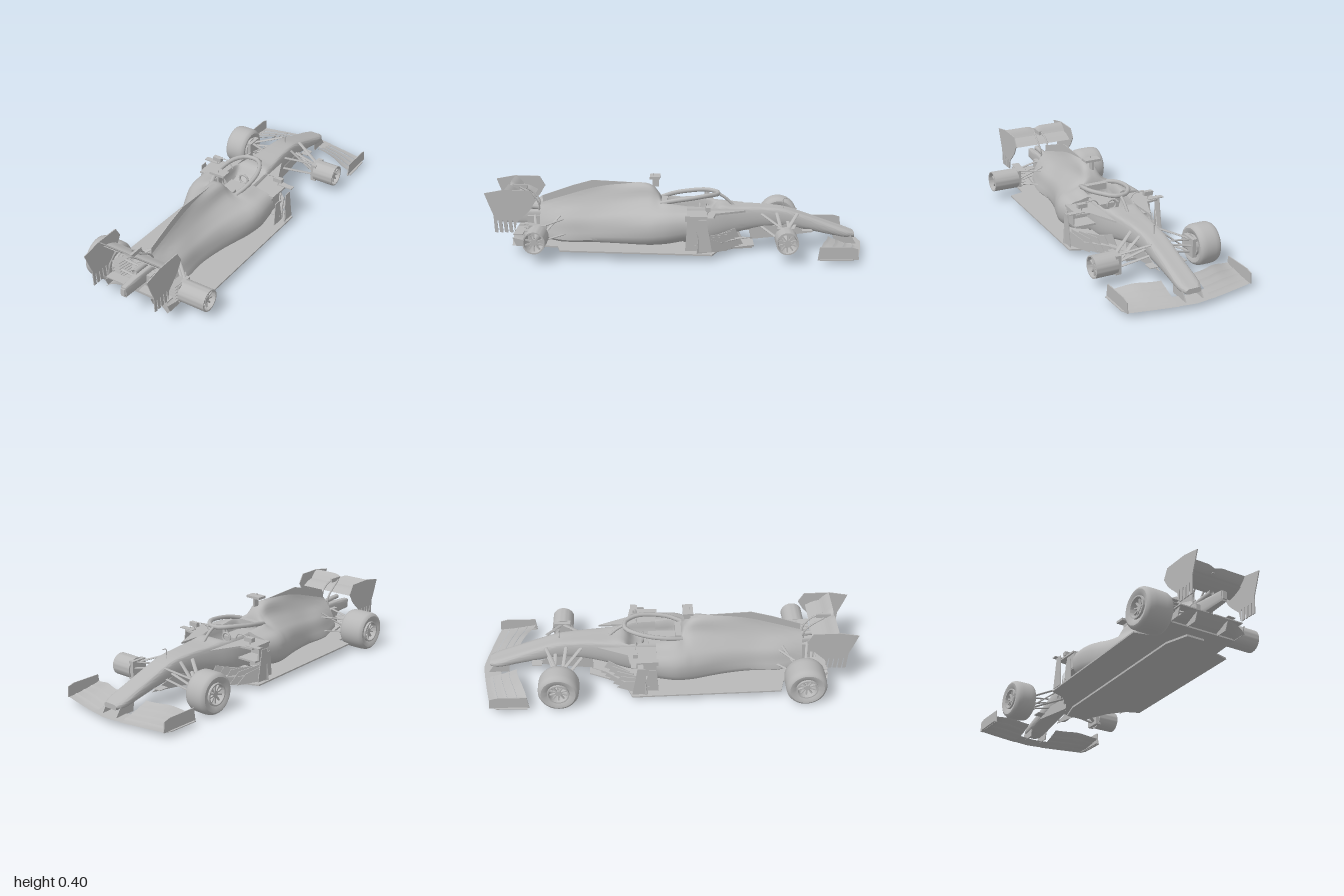
import * as THREE from 'three';
import { toCreasedNormals } from 'three/addons/utils/BufferGeometryUtils.js';

export function createModel() {
  const car = new THREE.Group();
  const grey = new THREE.MeshStandardMaterial({ color: 0xb8b8b8, side: THREE.DoubleSide });
  grey.name = 'plain grey';
  const V = (x, y, z) => new THREE.Vector3(x, y, z);

  const add = (name, geo, parent = car) => {
    const m = new THREE.Mesh(geo, grey);
    m.name = name;
    parent.add(m);
    return m;
  };
  const box = (name, w, h, d, x, y, z, parent) => {
    const m = add(name, new THREE.BoxGeometry(w, h, d), parent);
    m.position.set(x, y, z);
    return m;
  };
  const tube = (name, pts, r) => add(name, new THREE.TubeGeometry(
    new THREE.CatmullRomCurve3(pts.map(p => V(...p))), pts.length > 2 ? 24 : 1, r, 8));
  // flat oval bar between two points
  const arm = (name, a, b, chord) => {
    const p = V(...a), q = V(...b);
    const m = add(name, new THREE.CylinderGeometry(1, 1, p.distanceTo(q), 12).rotateX(Math.PI / 2).scale(chord / 2, 0.004, 1));
    m.position.lerpVectors(p, q, 0.5);
    m.lookAt(q);
  };
  const extrude = (pts, t) => new THREE.ExtrudeGeometry(
    new THREE.Shape(pts.map(p => new THREE.Vector2(...p))), { depth: t, bevelEnabled: false }).translate(0, 0, -t / 2);
  // upright plate from [z, y] corners, and flat plate from [x, z] corners
  const upright = (name, pts, x, t = 0.004) => {
    const m = add(name, extrude(pts, t).rotateY(-Math.PI / 2));
    m.position.x = x;
    return m;
  };
  const flat = (name, pts, y, t = 0.004) => {
    const m = add(name, extrude(pts, t).rotateX(Math.PI / 2));
    m.position.y = y;
    return m;
  };

  // surface from a function of two parameters
  function grid(fn, nu, nv) {
    const pos = [], idx = [];
    for (let j = 0; j <= nv; j++) for (let i = 0; i <= nu; i++) pos.push(...fn(i / nu, j / nv));
    for (let j = 0; j < nv; j++) for (let i = 0; i < nu; i++) {
      const a = j * (nu + 1) + i, b = a + 1, c = a + nu + 1, d = c + 1;
      idx.push(a, c, b, b, c, d);
    }
    const g = new THREE.BufferGeometry();
    g.setAttribute('position', new THREE.Float32BufferAttribute(pos, 3));
    g.setIndex(idx);
    return toCreasedNormals(g, 0.7);
  }

  // mirrored smooth loft through half sections [z, [x, y]...] running from top to bottom
  function loft(sections, steps = 44, half = 24) {
    const rails = sections[0].slice(1).map((_, k) =>
      new THREE.CatmullRomCurve3(sections.map(s => V(s[k + 1][0], s[k + 1][1], s[0]))));
    const rings = [];
    for (let j = 0; j <= steps; j++) {
      const c = new THREE.CatmullRomCurve3(rails.map(r => r.getPoint(j / steps))).getPoints(half);
      rings.push([...c, ...c.slice(0, -1).reverse().map(p => V(-p.x, p.y, p.z))]);
    }
    const cap = r => r.map(() => V(0, (r[0].y + r[half].y) / 2, r[0].z));
    const all = [cap(rings[0]), ...rings, cap(rings[steps])];
    return grid((u, v) => all[Math.round(v * (all.length - 1))][Math.round(u * half * 2)].toArray(),
      half * 2, all.length - 1);
  }

  // nose and cockpit tub, dipping into the cockpit at its rear end
  const tub = (z, w, top, bot, dip = top) => [z, [0, dip], [w * 0.72, dip], [w * 0.88, top - 0.004],
    [w, top - (top - bot) * 0.25], [w, bot + (top - bot) * 0.25], [w * 0.8, bot], [0, bot]];
  add('nose and cockpit tub', loft([
    tub(-0.96, 0.04, 0.092, 0.066), tub(-0.92, 0.055, 0.106, 0.066), tub(-0.8, 0.057, 0.148, 0.09),
    tub(-0.68, 0.059, 0.19, 0.115), tub(-0.58, 0.061, 0.22, 0.128), tub(-0.45, 0.068, 0.232, 0.125),
    tub(-0.32, 0.084, 0.236, 0.1), tub(-0.23, 0.1, 0.24, 0.075), tub(-0.17, 0.107, 0.246, 0.06, 0.18),
    tub(-0.04, 0.11, 0.25, 0.05, 0.17)]));

  // sidepods and engine cover, pinched in towards the gearbox
  add('sidepods and engine cover', loft([
    [-0.06, [0, .17], [.075, .175], [.092, .248], [.15, .24], [.205, .228], [.23, .185], [.21, .1], [0, .05]],
    [0.04, [0, .17], [.075, .18], [.09, .262], [.15, .245], [.205, .225], [.232, .175], [.21, .08], [0, .05]],
    [0.09, [0, .30], [.03, .295], [.07, .268], [.13, .245], [.195, .22], [.222, .17], [.2, .072], [0, .05]],
    [0.14, [0, .35], [.033, .338], [.06, .285], [.12, .243], [.175, .212], [.205, .16], [.185, .065], [0, .05]],
    [0.3, [0, .352], [.018, .325], [.045, .268], [.085, .225], [.122, .19], [.142, .135], [.135, .058], [0, .05]],
    [0.45, [0, .335], [.01, .3], [.035, .25], [.068, .205], [.095, .17], [.11, .12], [.112, .058], [0, .05]],
    [0.6, [0, .29], [.01, .265], [.03, .232], [.062, .2], [.09, .165], [.105, .115], [.115, .06], [0, .055]],
    [0.73, [0, .25], [.008, .235], [.03, .21], [.052, .18], [.068, .15], [.08, .12], [.085, .08], [0, .065]]]));
  upright('engine cover fin', [[.14, .33], [.22, .357], [.45, .37], [.56, .34], [.72, .285], [.72, .23], [.4, .27]], 0);

  // raked floor, plank and diffuser
  const floorEdge = [[0, -.42], [.07, -.42], [.13, -.3], [.2, -.22], [.28, -.19], [.28, .6], [.2, .62], [.19, .78], [0, .78]];
  const sym = pts => [...pts, ...pts.slice(1, -1).reverse().map(p => [-p[0], p[1]])];
  for (const [name, pts, y, t] of [['floor', floorEdge, .036, .008],
    ['plank', [[0, -.41], [.06, -.41], [.09, -.3], [.09, .6], [.05, .72], [0, .72]], .027, .012]])
    flat(name, sym(pts), y, t).rotation.x = -0.026;
  add('diffuser', grid((u, v) => [(u - .5) * .38, .055 + .055 * v * v * (1 - Math.pow(Math.abs(2 * u - 1), 4)), .68 + .18 * v], 20, 8));
  for (const x of [-.19, -.09, .09, .19])
    upright('diffuser fence', [[.7, .05], [.84, .055], [.86, .1], [.82, .09], [.7, .062]], x);

  // cockpit seat, headrest, halo and camera
  box('seat', .12, .05, .16, 0, .185, -.02);
  box('headrest', .12, .035, .04, 0, .25, .065);
  add('steering wheel', new THREE.TorusGeometry(.026, .006, 8, 20)).position.set(0, .215, -.13);
  tube('halo hoop', [[.08, .26, .08], [.1, .278, .01], [.1, .293, -.09], [.076, .302, -.17], [.03, .3, -.222],
    [-.03, .3, -.222], [-.076, .302, -.17], [-.1, .293, -.09], [-.1, .278, .01], [-.08, .26, .08]], .012);
  tube('halo pillar', [[0, .3, -.225], [0, .275, -.265], [0, .232, -.31]], .008);
  box('camera stem', .012, .05, .035, 0, .36, .11);
  box('camera pod', .09, .013, .055, 0, .389, .112);
  tube('camera antenna', [[0, .38, .12], [0, .407, .12]], .002);
  tube('airspeed probe', [[0, .215, -.58], [0, .268, -.58], [0, .27, -.605]], .002);

  // wheels: tyres on the right, bare rims on the left
  function wheel(x, z, width, tyre) {
    const g = new THREE.Group(), h = width / 2, s = Math.sign(x);
    g.name = 'wheel';
    const lathe = (name, pts) => add(name, toCreasedNormals(new THREE.LatheGeometry(
      pts.map(p => new THREE.Vector2(...p)), 48), 0.6).rotateZ(-Math.PI / 2), g);
    if (tyre) lathe('tyre', [[.058, -h + .012], [.075, -h + .002], [.09, -h], [.1, -h + .006], [.106, -h + .018], [.108, -h * .4],
      [.108, h * .4], [.106, h - .018], [.1, h - .006], [.09, h], [.075, h - .002], [.058, h - .012]]);
    lathe('rim barrel', [[.051, -h], [.058, -h], [.058, h], [.051, h], [.048, h - .012], [.048, -h + .012], [.051, -h]]);
    const hub = add('hub', new THREE.CylinderGeometry(.016, .022, h * 1.4, 20).rotateZ(-s * Math.PI / 2), g);
    hub.position.x = s * h * .1;
    for (let i = 0; i < 10; i++) {
      const a = i * Math.PI / 5;
      box('spoke', .01, .04, .007, s * h * .7, Math.cos(a) * .031, Math.sin(a) * .031, g).rotation.x = a;
    }
    const disc = add('brake drum', new THREE.CylinderGeometry(.046, .046, .02, 32).rotateZ(Math.PI / 2), g);
    disc.position.x = -s * h * .7;
    g.position.set(x, .111, z);
    car.add(g);
  }
  for (const s of [-1, 1]) {
    wheel(s * .282, -.575, .122, s < 0);
    wheel(s * .271, .725, .15, s < 0);
  }

  // front wing: central plane and stacked, swept elements on each side
  const lead = x => -1 + .065 * Math.pow(x / .34, 1.2);
  const smooth = THREE.MathUtils.smoothstep;
  add('front wing centre', grid((u, v) => {
    const x = (u - .5) * .2;
    return [x, .032 + .006 * v, lead(Math.abs(x)) + .09 * v];
  }, 12, 3));
  for (const s of [-1, 1]) {
    for (let k = 0; k < 4; k++) add('front wing element', grid((u, v) => {
      const x = .09 + .25 * (s > 0 ? u : 1 - u), f = (k + v * .96) / 4;
      const trail = -.81 + .075 * smooth(x, .08, .36);
      const y = .03 + .055 * Math.pow(f, 1.4) * (1 - .5 * smooth(x, .2, .34)) + (v > .95 ? .003 : 0);
      return [s * x, y, lead(x) + (trail - lead(x)) * f];
    }, 14, 5));
    upright('front wing endplate', [[-.94, .03], [-.935, .085], [-.9, .095], [-.74, .095], [-.73, .026], [-.85, .024]], s * .34, .005);
    flat('front wing footplate', [[s * .33, -.935], [s * .352, -.9], [s * .354, -.74], [s * .33, -.74]], .029);
    upright('nose pylon', [[-.97, .034], [-.86, .036], [-.85, .1], [-.93, .095]], s * .048, .006);

    // guide vanes beneath the nose
    upright('nose guide vane', [[-.74, .1], [-.5, .07], [-.4, .06], [-.4, .13], [-.6, .14]], s * .058);
    box('nose winglet', .045, .004, .055, s * .08, .115, -.7);

    // bargeboards and vanes ahead of the sidepod
    for (let i = 0; i < 5; i++) {
      const m = upright('bargeboard', [[-.1, .035], [.08, .04], [.07, .1 + i * .008], [-.05, .13 - i * .01]], s * (.115 + i * .032));
      m.position.z = -.27 + i * .022;
      m.rotation.y = s * .45;
    }
    flat('bargeboard shelf', [[.08, -.41], [.12, -.33], [.22, -.22], [.25, -.1], [.1, -.1]].map(p => [s * p[0], p[1]]), .075);
    for (const [x, z, top] of [[.272, -.16, .215], [.245, -.1, .18]])
      upright('sidepod turning vane', [[z - .03, .045], [z + .05, .045], [z + .04, top], [z, top]], s * x);
    box('sidepod front bar', .09, .005, .03, s * .235, .228, -.18);
    flat('sidepod shoulder', [[s * .1, -.37], [s * .17, -.21], [s * .24, -.2], [s * .235, -.05], [s * .1, -.05]], .222, .01);
    box('intake lower lip', .12, .01, .12, s * .165, .135, -.1);
    box('intake outer wall', .008, .085, .08, s * .223, .178, -.09);

    // mirrors
    box('mirror', .052, .022, .025, s * .196, .259, -.17);
    tube('mirror stalk', [[s * .09, .235, -.16], [s * .12, .27, -.165], [s * .18, .27, -.17]], .003);
    tube('mirror post', [[s * .195, .225, -.165], [s * .2, .25, -.17]], .003);

    // suspension arms
    const arms = (name, chord, list) => list.forEach(([a, b]) =>
      arm(name, [s * a[0], a[1], a[2]], [s * b[0], b[1], b[2]], chord));
    arms('front suspension arm', .02, [[[.055, .2, -.65], [.215, .148, -.58]], [[.065, .2, -.46], [.215, .148, -.57]],
      [[.05, .14, -.64], [.215, .08, -.58]], [[.06, .13, -.46], [.215, .08, -.57]],
      [[.06, .205, -.54], [.215, .085, -.57]], [[.055, .16, -.6], [.215, .12, -.6]]]);
    arms('rear suspension arm', .016, [[[.055, .175, .58], [.205, .155, .72]], [[.03, .18, .76], [.205, .155, .73]],
      [[.08, .1, .56], [.205, .08, .72]], [[.04, .1, .76], [.205, .08, .73]],
      [[.07, .19, .62], [.205, .09, .72]], [[.03, .13, .79], [.205, .115, .76]]]);
    box('front brake duct', .03, .1, .09, s * .218, .112, -.575);
    box('rear brake duct', .02, .1, .09, s * .19, .115, .725);
    for (let i = 0; i < 6; i++) box('brake duct winglet', .045, .003, .1, s * .17, .075 + i * .018, .745).rotation.x = -.15;

    // rear wing endplate with a toothed lower edge
    const teeth = [0, 1, 2, 3].flatMap(i => [[.95 - i * .026, .128], [.932 - i * .026, .126], [.936 - i * .026, .19], [.93 - i * .026, .19]]);
    upright('rear wing endplate', [[.73, .3], [.76, .352], [.9, .355], [1, .337], [.975, .27], [.955, .22], ...teeth,
      [.845, .13], [.835, .18], [.79, .22], [.76, .25]], s * .184, .005);
    tube('rear wing pylon', [[s * .02, .19, .74], [s * .024, .25, .74], [s * .028, .3, .78], [s * .02, .335, .84]], .005);
    box('lower wing beam', .17, .006, .05, s * .1, .115, .83);
  }

  // rear wing planes, each a thin curved aerofoil with a dished centre
  function plane(name, z0, z1, y0, y1, dish) {
    add(name, grid((u, v) => {
      const x = (u - .5) * .368, t = Math.abs(2 * v - 1), c = Math.pow(t, 1.6);
      const y = y0 + (y1 - y0) * c + (v > .5 ? .012 * Math.sin(Math.PI * t) : 0);
      return [x, y - dish * c * Math.exp(-Math.pow(x / .022, 2)), z0 + (z1 - z0) * t];
    }, 32, 16));
  }
  plane('rear wing main plane', .77, .86, .278, .31, 0);
  plane('rear wing flap', .845, .895, .312, .355, .014);
  box('flap actuator', .012, .022, .08, 0, .335, .84);

  // gearbox, crash structure and rain light
  box('gearbox', .1, .1, .12, 0, .13, .74);
  add('crash structure', loft([tub(.7, .035, .21, .13), tub(.8, .024, .205, .135), tub(.95, .016, .195, .14)], 10, 12));
  box('rain light', .024, .04, .01, 0, .168, .953);
  tube('exhaust', [[0, .215, .7], [0, .225, .8], [0, .228, .86]], .014);

  return car;
}
